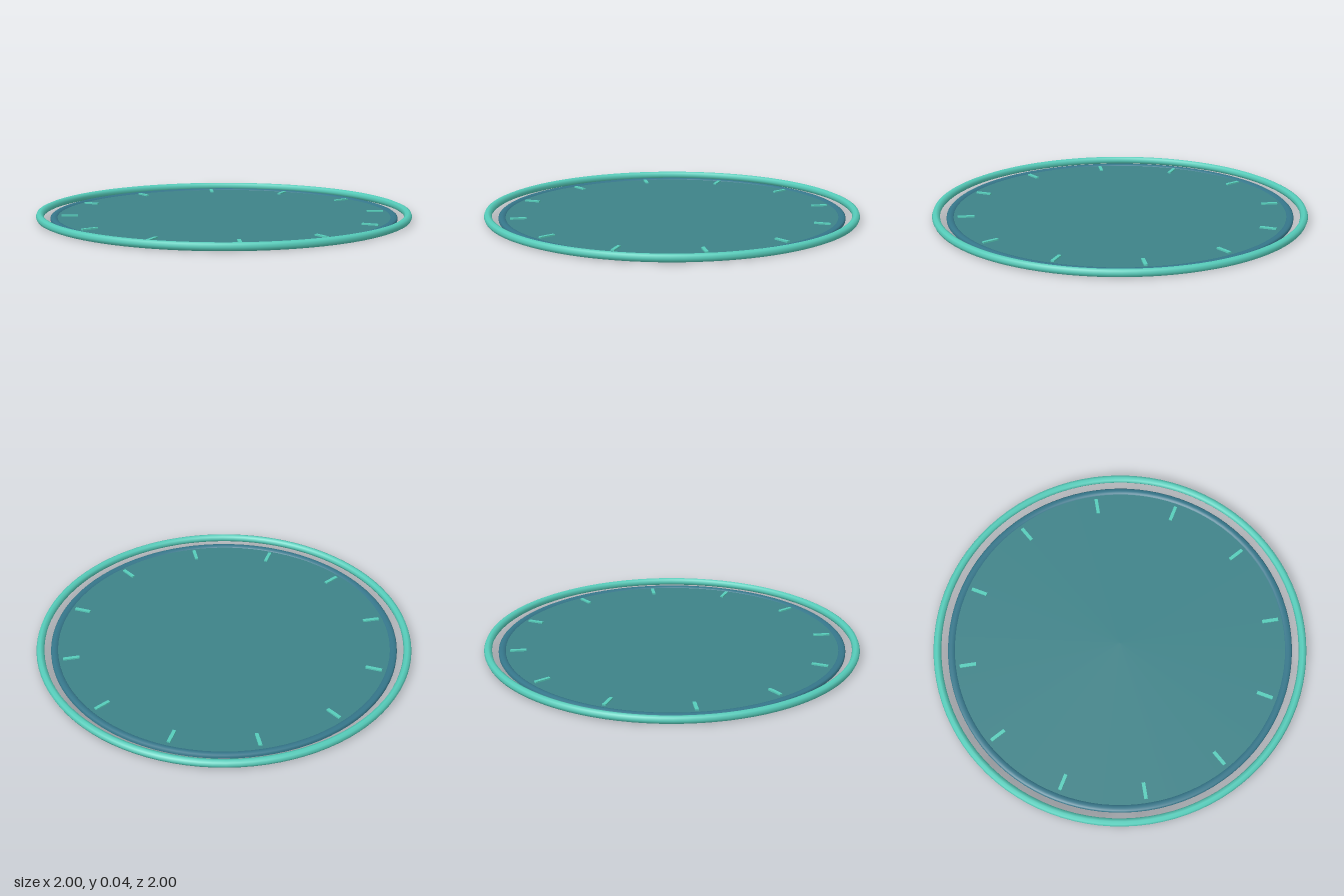
import * as THREE from 'three';

export function createModel() {
  const model = new THREE.Group();
  const material = (name, color) => {
    const m = new THREE.MeshStandardMaterial({ color });
    m.name = name;
    return m;
  };
  const mint = material('mint', 0x56ccba);
  const teal = material('teal', 0x3d8288);
  const blueTeal = material('blueTeal', 0x35768a);

  const add = (name, geometry, mat, y = 0) => {
    const mesh = new THREE.Mesh(geometry, mat);
    mesh.name = name;
    mesh.position.y = y;
    model.add(mesh);
    return mesh;
  };

  // Dial plate
  add('dialPlate', new THREE.CylinderGeometry(0.923, 0.923, 0.012, 96), teal, 0.006);

  // Low raised bezel around the plate's edge
  const profile = [
    [0.924, 0.002], [0.924, 0.012], [0.918, 0.017],
    [0.905, 0.02], [0.892, 0.017], [0.886, 0.011],
  ].map(([r, y]) => new THREE.Vector2(r, y));
  add('bezel', new THREE.LatheGeometry(profile, 96), blueTeal);

  // Separate outer ring with an octagonal section
  const ring = new THREE.TorusGeometry(0.979, 0.021, 8, 96);
  ring.rotateX(-Math.PI / 2);
  add('outerRing', ring, mint, 0.022);

  // Twelve hour marks
  const markGeometry = new THREE.BoxGeometry(0.018, 0.008, 0.087);
  markGeometry.translate(0, 0, 0.822);
  for (let i = 0; i < 12; i++) {
    add('hourMark', markGeometry, mint, 0.016).rotation.y = (i * Math.PI) / 6;
  }

  return model;
}
